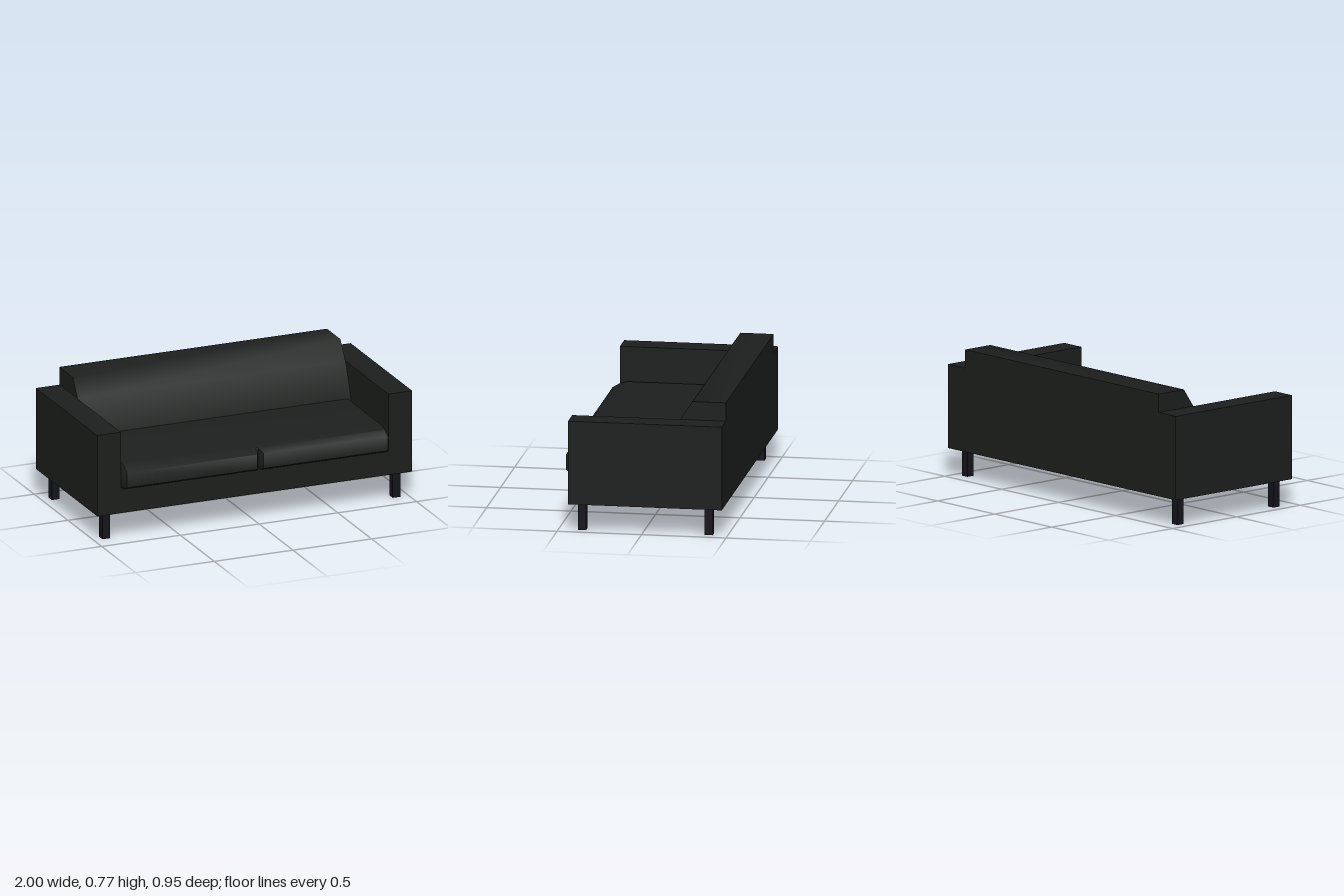
import * as THREE from 'three';
import { toCreasedNormals } from 'three/addons/utils/BufferGeometryUtils.js';

const CREASE = 1.05;

// Extrudes a 2D outline by depth, centred on its extrusion axis
function extrude(points, depth) {
  const shape = new THREE.Shape(points.map(([x, y]) => new THREE.Vector2(x, y)));
  return new THREE.ExtrudeGeometry(shape, { depth, bevelEnabled: false }).translate(0, 0, -depth / 2);
}

// Skins equal-length cross-sections placed along x
function loft(sections) {
  const n = sections[0].length;
  const index = [];
  for (let i = 0; i < sections.length - 1; i++) {
    for (let j = 0; j < n - 1; j++) {
      const a = i * n + j, b = a + n;
      index.push(a, a + 1, b + 1, a, b + 1, b);
    }
  }
  const geometry = new THREE.BufferGeometry();
  geometry.setAttribute('position', new THREE.Float32BufferAttribute(sections.flat(2), 3));
  geometry.setIndex(index);
  return toCreasedNormals(geometry, CREASE);
}

export function createModel() {
  const group = new THREE.Group();
  const fabric = new THREE.MeshStandardMaterial({ color: 0x1c1f1d });
  const legMaterial = new THREE.MeshStandardMaterial({ color: 0x14141c });

  const add = (name, geometry, material) => {
    const mesh = new THREE.Mesh(geometry, material);
    mesh.name = name;
    group.add(mesh);
    return mesh;
  };

  // Base and both arms as one U-shaped frame
  const frame = extrude([
    [-1, 0.165], [1, 0.165], [1, 0.665], [0.85, 0.665],
    [0.85, 0.31], [-0.85, 0.31], [-0.85, 0.665], [-1, 0.665],
  ], 0.91);
  add('frame', frame.translate(0, 0, -0.02), fabric);

  // Sloping backrest between the arms; outline is (z, y)
  const back = extrude([
    [-0.475, 0.31], [-0.1, 0.31], [-0.12, 0.46], [-0.203, 0.665], [-0.278, 0.775], [-0.475, 0.775],
  ], 1.7).rotateY(-Math.PI / 2);
  add('backrest', toCreasedNormals(back, CREASE), fabric);

  // Seat cushions: pinched in at the arms and at the front seam
  const profile = [
    [-0.14, 0.46], [0.39, 0.46], [0.435, 0.447], [0.475, 0.422],
    [0.475, 0.33], [0.435, 0.31], [-0.14, 0.31],
  ];
  const section = (x, maxZ, drop) => profile.map(([z, y]) =>
    [x, y - drop * (y - 0.31) / 0.15, Math.min(z, maxZ)]);
  add('seatCushions', loft([
    section(-0.85, 0.435, 0.06),
    section(-0.828, 0.475, 0),
    section(0, 0.475, 0),
    section(0.02, 0.435, 0),
    section(0.04, 0.475, 0),
    section(0.828, 0.475, 0),
    section(0.85, 0.435, 0.06),
  ]), fabric);

  // Four square legs
  const legGeometry = new THREE.BoxGeometry(0.048, 0.165, 0.048);
  for (const [side, x] of [['Left', 0.922], ['Right', -0.922]]) {
    for (const [end, z] of [['front', 0.361], ['back', -0.389]]) {
      add(`${end}${side}Leg`, legGeometry, legMaterial).position.set(x, 0.0825, z);
    }
  }

  return group;
}
